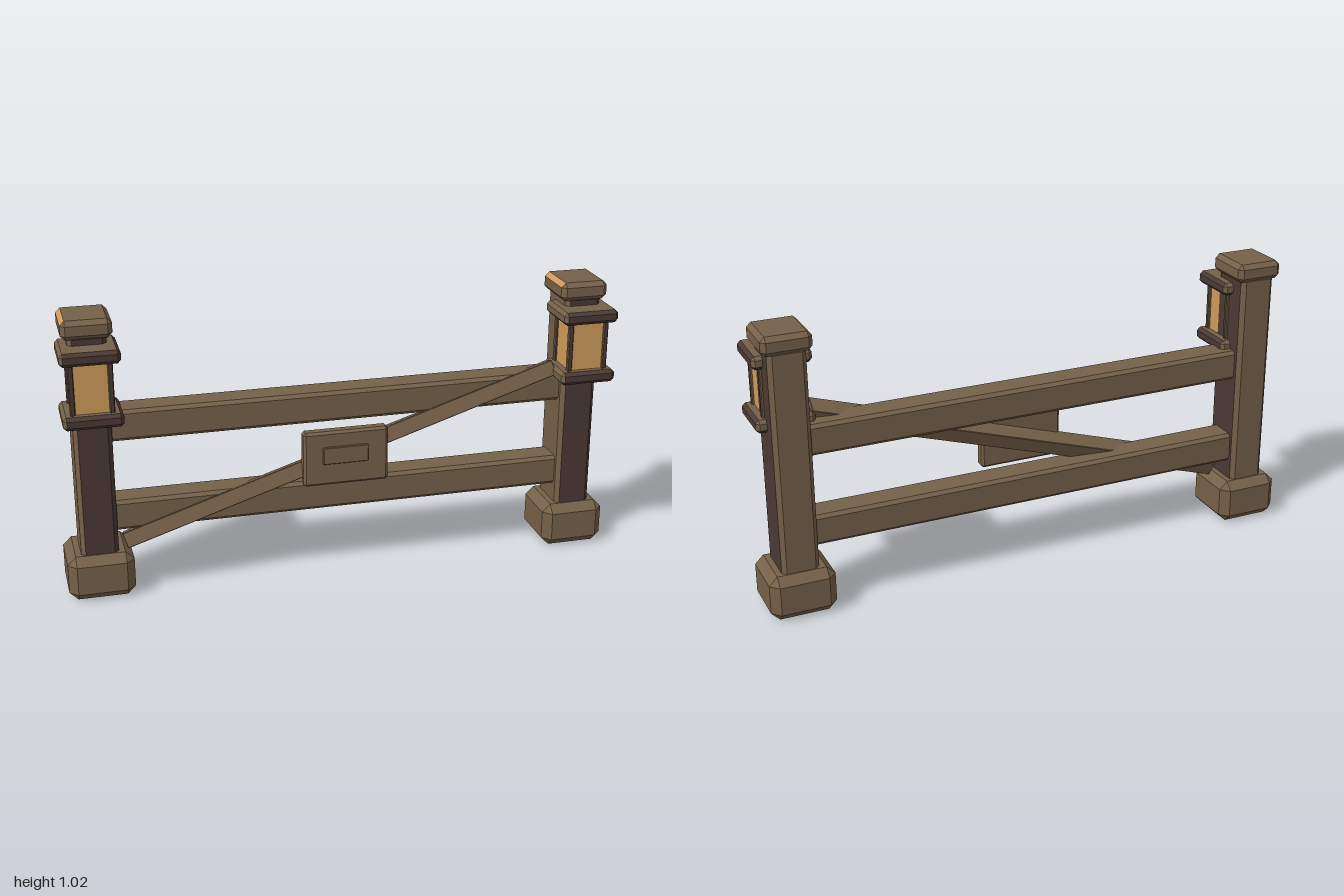
import * as THREE from 'three';
import { ConvexGeometry } from 'three/addons/geometries/ConvexGeometry.js';

const material = (name, color) => {
  const m = new THREE.MeshStandardMaterial({ color });
  m.name = name;
  return m;
};

// Box with every edge cut flat by c
function chamferBox(w, h, d, c) {
  const points = [];
  for (const x of [-1, 1]) for (const y of [-1, 1]) for (const z of [-1, 1]) {
    for (const full of [0, 1, 2]) {
      points.push(new THREE.Vector3(
        x * (w / 2 - (full === 0 ? 0 : c)),
        y * (h / 2 - (full === 1 ? 0 : c)),
        z * (d / 2 - (full === 2 ? 0 : c))));
    }
  }
  return new ConvexGeometry(points);
}

// Give each face a material index chosen from its normal
function groupByNormal(geometry, pick) {
  const n = geometry.attributes.normal;
  for (let i = 0; i < n.count; i += 3) {
    geometry.addGroup(i, 3, pick(n.getX(i), n.getY(i), n.getZ(i)));
  }
  return geometry;
}

export function createModel() {
  const model = new THREE.Group();
  model.name = 'fence';
  const brown = material('weathered wood', 0x76614a);
  const dark = material('dark wood', 0x4b3a34);
  const amber = material('amber glass', 0xd09b5b);

  const add = (parent, name, geometry, mat, x, y, z) => {
    const mesh = new THREE.Mesh(geometry, mat);
    mesh.name = name;
    mesh.position.set(x, y, z);
    parent.add(mesh);
    return mesh;
  };
  // Dark on the front, +x side and underside, brown elsewhere
  const twoTone = (geometry) => groupByNormal(geometry, (x, y, z) =>
    (y < -0.5 || (y < 0.9 && x + z > 0.01) ? 0 : 1));
  const woods = [dark, brown];

  const postZ = -0.024, lampZ = 0.05;
  for (const side of [-1, 1]) {
    const post = new THREE.Group();
    post.name = side > 0 ? 'leftPost' : 'rightPost';
    post.position.x = side * 0.883;
    model.add(post);

    add(post, 'foot', chamferBox(0.234, 0.165, 0.234, 0.03), brown, 0, 0.0825, postZ);
    add(post, 'shaft', twoTone(chamferBox(0.132, 0.95, 0.168, 0.015)), woods, 0, 0.495, postZ);

    // Cap with one amber bevel along its -x top edge
    const cap = groupByNormal(chamferBox(0.173, 0.067, 0.19, 0.016),
      (x, y, z) => (x < -0.5 && y > 0.5 && Math.abs(z) < 0.1 ? 1 : 0));
    add(post, 'cap', cap, [brown, amber], 0, 0.988, postZ);

    // Lantern
    const lantern = new THREE.Group();
    lantern.name = 'lantern';
    lantern.position.z = lampZ;
    post.add(lantern);
    for (const [name, y] of [['lanternBase', 0.688], ['lanternRoof', 0.911]]) {
      add(lantern, name, twoTone(chamferBox(0.204, 0.047, 0.19, 0.012)), woods, 0, y, 0);
    }
    add(lantern, 'lanternGlass', new THREE.BoxGeometry(0.132, 0.18, 0.126), amber, 0, 0.799, 0);
    for (const x of [-1, 1]) for (const z of [-1, 1]) {
      add(lantern, 'lanternBar', twoTone(chamferBox(0.018, 0.18, 0.018, 0.003)), woods,
        x * 0.066, 0.799, z * 0.062);
    }
  }

  // Horizontal rails
  for (const [name, y] of [['lowerRail', 0.289], ['upperRail', 0.624]]) {
    add(model, name, chamferBox(1.68, 0.112, 0.112, 0.012), brown, 0, y, postZ);
  }

  // Diagonal brace, rolled about its own length
  const brace = add(model, 'brace', chamferBox(1.66, 0.056, 0.073, 0.002), brown, 0, 0.442, 0.018);
  brace.rotation.set(-0.35, 0, 0.31, 'ZYX');

  // Blank plaque with a raised panel
  add(model, 'plaque', chamferBox(0.31, 0.204, 0.045, 0.009), brown, 0, 0.447, 0.057);
  add(model, 'plaquePanel', chamferBox(0.165, 0.063, 0.02, 0.002), brown, -0.003, 0.461, 0.08);

  return model;
}
